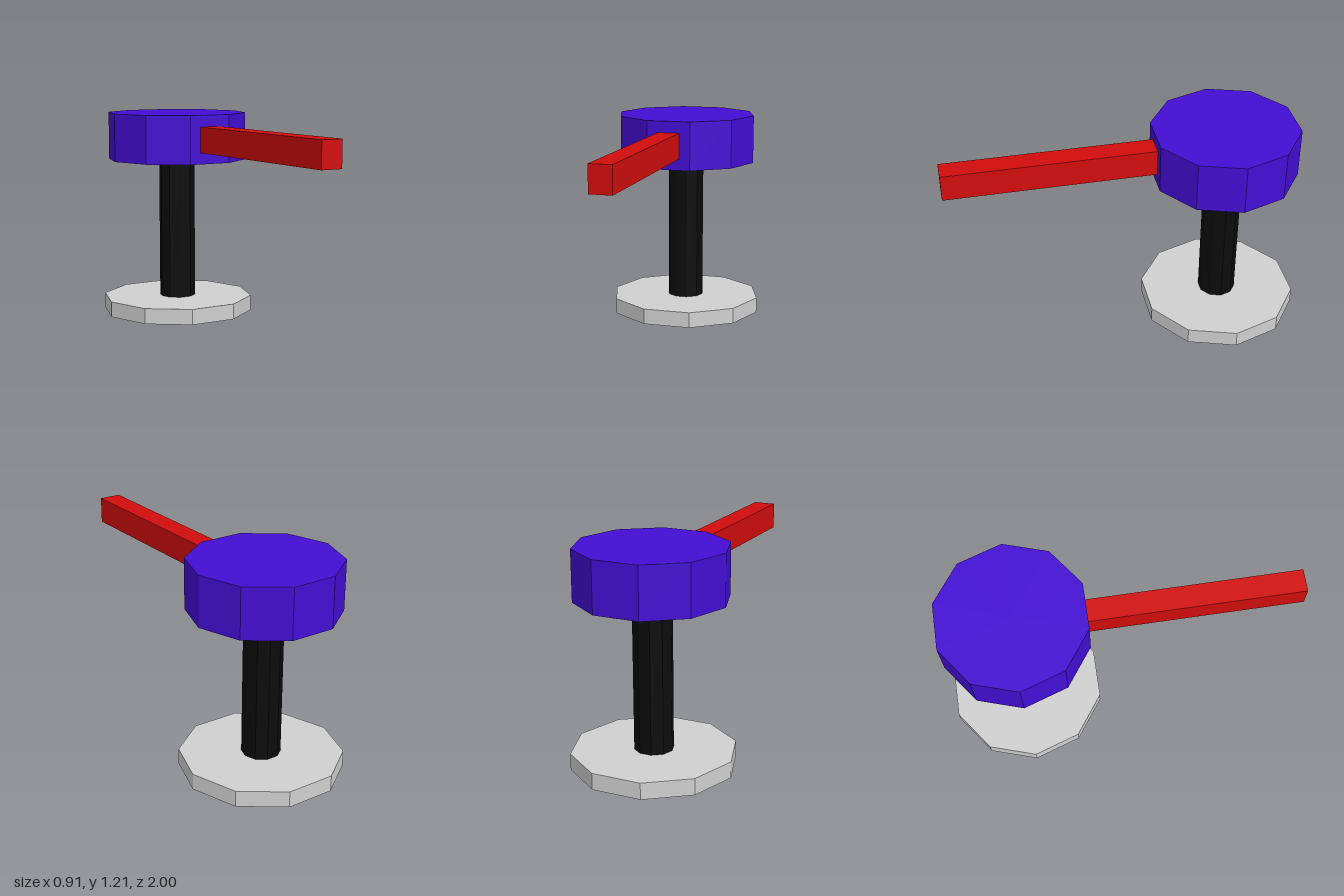
import * as THREE from 'three';

function material(name, color) {
  const m = new THREE.MeshStandardMaterial({ color, flatShading: true });
  m.name = name;
  return m;
}

export function createModel() {
  const model = new THREE.Group();
  model.name = 'turret';
  const axisZ = -0.569;

  const add = (name, geometry, mat, y, z) => {
    const mesh = new THREE.Mesh(geometry, mat);
    mesh.name = name;
    mesh.position.set(0, y, z);
    model.add(mesh);
  };

  // Ten-sided drum with corners on the x axis
  const drum = (name, radius, bottom, top, mat) => {
    const geometry = new THREE.CylinderGeometry(radius, radius, top - bottom, 10);
    geometry.rotateY(Math.PI / 2);
    add(name, geometry, mat, (bottom + top) / 2, axisZ);
  };

  // Base plate, column and head
  drum('base', 0.453, 0, 0.092, material('light grey', 0xd0d0d0));
  drum('column', 0.108, 0.092, 0.93, material('black', 0x0c0c0c));
  drum('head', 0.416, 0.93, 1.213, material('violet', 0x440ed4));

  // Barrel, sunk a little into the head
  const back = -0.19, front = 1;
  add('barrel', new THREE.BoxGeometry(0.126, 0.15, front - back),
    material('red', 0xd20d0d), 1.071, (front + back) / 2);

  return model;
}
